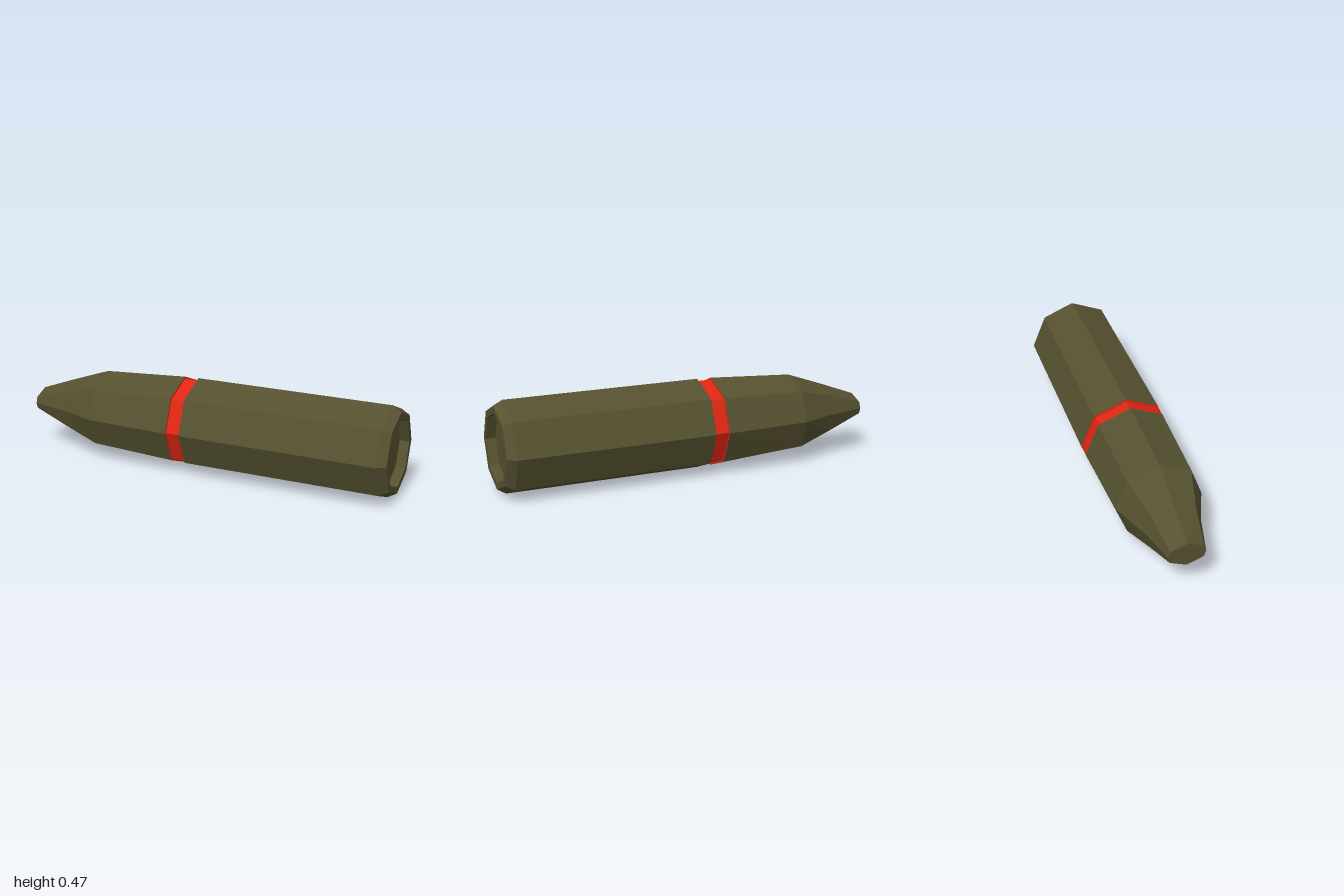
import * as THREE from 'three';

const AXIS_Y = 0.237;

// Eight-sided ring: x position, top, diagonal y, diagonal z, side z
const ring = (x, top, dy, dz, side) => [
  [top, 0], [dy, dz], [0, side], [-dy, dz], [-top, 0], [-dy, -dz], [0, -side], [dy, -dz],
].map(([y, z]) => new THREE.Vector3(x, y + AXIS_Y, z));

const regular = (x, r) => ring(x, r, r * Math.SQRT1_2, r * Math.SQRT1_2, r);

// Skin a row of rings, optionally closing the first and last
function loft(name, rings, material, capStart = false, capEnd = false) {
  const pos = [];
  const tri = (...points) => points.forEach((p) => pos.push(p.x, p.y, p.z));
  for (let i = 0; i < rings.length - 1; i++) {
    for (let j = 0; j < 8; j++) {
      const k = (j + 1) % 8;
      const a = rings[i][j], b = rings[i][k], c = rings[i + 1][k], d = rings[i + 1][j];
      tri(a, b, c);
      tri(a, c, d);
    }
  }
  const last = rings[rings.length - 1];
  for (let j = 1; j < 7; j++) {
    if (capStart) tri(rings[0][0], rings[0][j + 1], rings[0][j]);
    if (capEnd) tri(last[0], last[j], last[j + 1]);
  }
  const geometry = new THREE.BufferGeometry();
  geometry.setAttribute('position', new THREE.Float32BufferAttribute(pos, 3));
  geometry.computeVertexNormals();
  const mesh = new THREE.Mesh(geometry, material);
  mesh.name = name;
  return mesh;
}

export function createModel() {
  const olive = new THREE.MeshStandardMaterial({ color: 0x565130 });
  olive.name = 'olive';
  const red = new THREE.MeshStandardMaterial({ color: 0xe02612 });
  red.name = 'red';
  const brass = new THREE.MeshStandardMaterial({ color: 0xdfca75 });
  brass.name = 'brass';

  const group = new THREE.Group();
  group.name = 'shell';

  // Tapering nose, flattened towards its tip
  group.add(loft('nose', [
    ring(-1, 0.063, 0.031, 0.081, 0.091),
    ring(-0.8, 0.137, 0.097, 0.11, 0.14),
    ring(-0.6, 0.207, 0.147, 0.158, 0.214),
    regular(-0.145, 0.235),
  ], olive, true));

  // Red band sunk in a shallow groove, with red groove walls
  group.add(loft('band', [
    regular(-0.145, 0.235),
    regular(-0.145, 0.225),
    regular(-0.07, 0.225),
    regular(-0.07, 0.237),
  ], red));

  // Straight casing with chamfered end, rim and recessed base
  group.add(loft('casing', [
    regular(-0.07, 0.237),
    regular(0.955, 0.237),
    regular(1, 0.21),
    regular(1, 0.176),
    regular(0.95, 0.176),
  ], olive, false, true));

  // Small primer in the middle of the base
  const primer = new THREE.Mesh(new THREE.CylinderGeometry(0.014, 0.014, 0.004, 8), brass);
  primer.name = 'primer';
  primer.rotation.z = -Math.PI / 2;
  primer.position.set(0.951, AXIS_Y + 0.004, -0.005);
  group.add(primer);

  return group;
}
